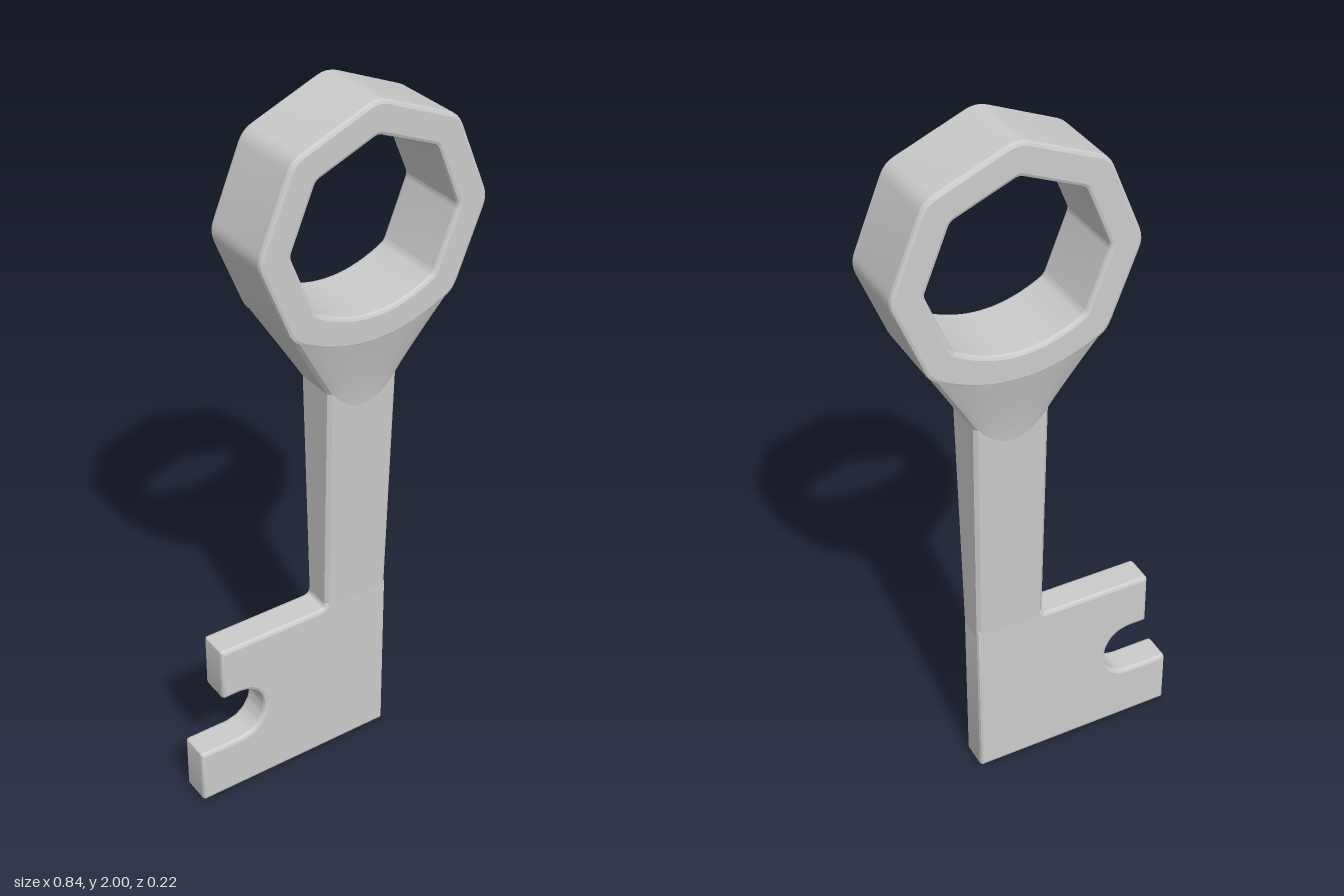
import * as THREE from 'three';
import { toCreasedNormals } from 'three/addons/utils/BufferGeometryUtils.js';

const AXIS = 0.086; // x of the shank and bow centre line
const EDGE = 0.01;  // size of the softened edges
const CREASE = 0.38;
const material = new THREE.MeshStandardMaterial({ color: 0xcccccc, side: THREE.DoubleSide });

function addMesh(group, name, geometry) {
  const mesh = new THREE.Mesh(toCreasedNormals(geometry, CREASE), material);
  mesh.name = name;
  group.add(mesh);
}

// Closed outline whose sharp corners are rounded off by a short curve
function rounded(points, r, PathType = THREE.Shape) {
  const path = new PathType();
  const n = points.length;
  points.forEach((p, i) => {
    const a = points[(i + n - 1) % n].clone().sub(p);
    const b = points[(i + 1) % n].clone().sub(p);
    const cut = (v) => p.clone().addScaledVector(v.clone().normalize(), Math.min(r, v.length() * 0.4));
    const start = cut(a), end = cut(b);
    if (i === 0) path.moveTo(start.x, start.y);
    else path.lineTo(start.x, start.y);
    path.quadraticCurveTo(p.x, p.y, end.x, end.y);
  });
  path.closePath();
  return path;
}

// Octagon with its lowest corner replaced by a shallow arc
function bowOutline(radius, cornerX, cornerY, sag) {
  const points = [];
  for (let i = -1; i <= 5; i++) {
    const a = i * Math.PI / 4;
    points.push(new THREE.Vector2(AXIS + radius * Math.cos(a), 1.667 + radius * Math.sin(a)));
  }
  points[0].set(AXIS + cornerX, cornerY);
  points[6].set(AXIS - cornerX, cornerY);
  for (let k = 1; k < 10; k++) {
    const u = -1 + k / 5;
    points.push(new THREE.Vector2(AXIS + cornerX * u, cornerY - sag * (1 - u * u)));
  }
  return points;
}

// Softened extrusion centred on z = 0
function slab(shape, halfDepth) {
  const geometry = new THREE.ExtrudeGeometry(shape, {
    depth: 2 * (halfDepth - EDGE), bevelEnabled: true, bevelThickness: EDGE, bevelSize: EDGE,
    bevelOffset: -EDGE, bevelSegments: 2, curveSegments: 4,
  });
  return geometry.translate(0, 0, EDGE - halfDepth);
}

// Rectangular cross-section with chamfered corners; front and back sag in the middle
function section(y, halfWidth, halfDepth, sag, steps = 12) {
  const front = [[halfWidth * -1, y, halfDepth - EDGE]];
  for (let i = 0; i <= steps; i++) {
    const u = -1 + 2 * i / steps;
    front.push([(halfWidth - EDGE) * u, y - sag * (1 - u * u), halfDepth]);
  }
  front.push([halfWidth, y, halfDepth - EDGE]);
  const back = front.map(([x, py, z]) => [-x, py, -z]);
  return [...front, ...back].map(([x, py, z]) => [x + AXIS, py, z]);
}

// Skin over sections ordered from bottom to top
function loft(sections) {
  const n = sections[0].length;
  const index = [];
  for (let i = 0; i < sections.length - 1; i++) {
    for (let j = 0; j < n; j++) {
      const a = i * n + j, b = i * n + (j + 1) % n;
      index.push(a, b, b + n, a, b + n, a + n);
    }
  }
  const geometry = new THREE.BufferGeometry();
  geometry.setAttribute('position', new THREE.Float32BufferAttribute(sections.flat(2), 3));
  geometry.setIndex(index);
  return geometry;
}

export function createModel() {
  const key = new THREE.Group();
  key.name = 'key';

  // Bow: thick octagonal ring
  const bow = rounded(bowOutline(0.338, 0.243, 1.43, 0.075), 0.03);
  bow.holes.push(rounded(bowOutline(0.246, 0.178, 1.494, 0.054), 0.012, THREE.Path));
  addMesh(key, 'bow', slab(bow, 0.112));

  // Collar: flares from the shank up to the ring
  const collar = [];
  for (let i = 0; i <= 8; i++) {
    const v = i / 8;
    collar.push(section(
      THREE.MathUtils.lerp(1.21, 1.438, v), THREE.MathUtils.lerp(0.106, 0.241, v),
      0.065 + 0.0465 * Math.pow(v, 1.2), THREE.MathUtils.lerp(0.06, 0.075, v)));
  }
  addMesh(key, 'collar', loft(collar));

  // Shank: slightly tapered bar
  addMesh(key, 'shank', loft([section(0.49, 0.1, 0.0455, 0), section(1.22, 0.106, 0.066, 0)]));

  // Bit: flat plate with a round-ended notch and a small fillet under the shank
  const outline = [
    [0.186, 0], [0.186, 0.52], [-0.014, 0.52], [-0.017, 0.507], [-0.03, 0.503],
    [-0.352, 0.503], [-0.352, 0.34],
  ].map(([x, y]) => new THREE.Vector2(x, y));
  for (let i = 0; i <= 8; i++) {
    const a = Math.PI / 2 - i * Math.PI / 8;
    outline.push(new THREE.Vector2(-0.295 + 0.077 * Math.cos(a), 0.255 + 0.085 * Math.sin(a)));
  }
  outline.push(new THREE.Vector2(-0.426, 0.17), new THREE.Vector2(-0.426, 0));
  addMesh(key, 'bit', slab(rounded(outline, 0.008), 0.046));

  return key;
}
